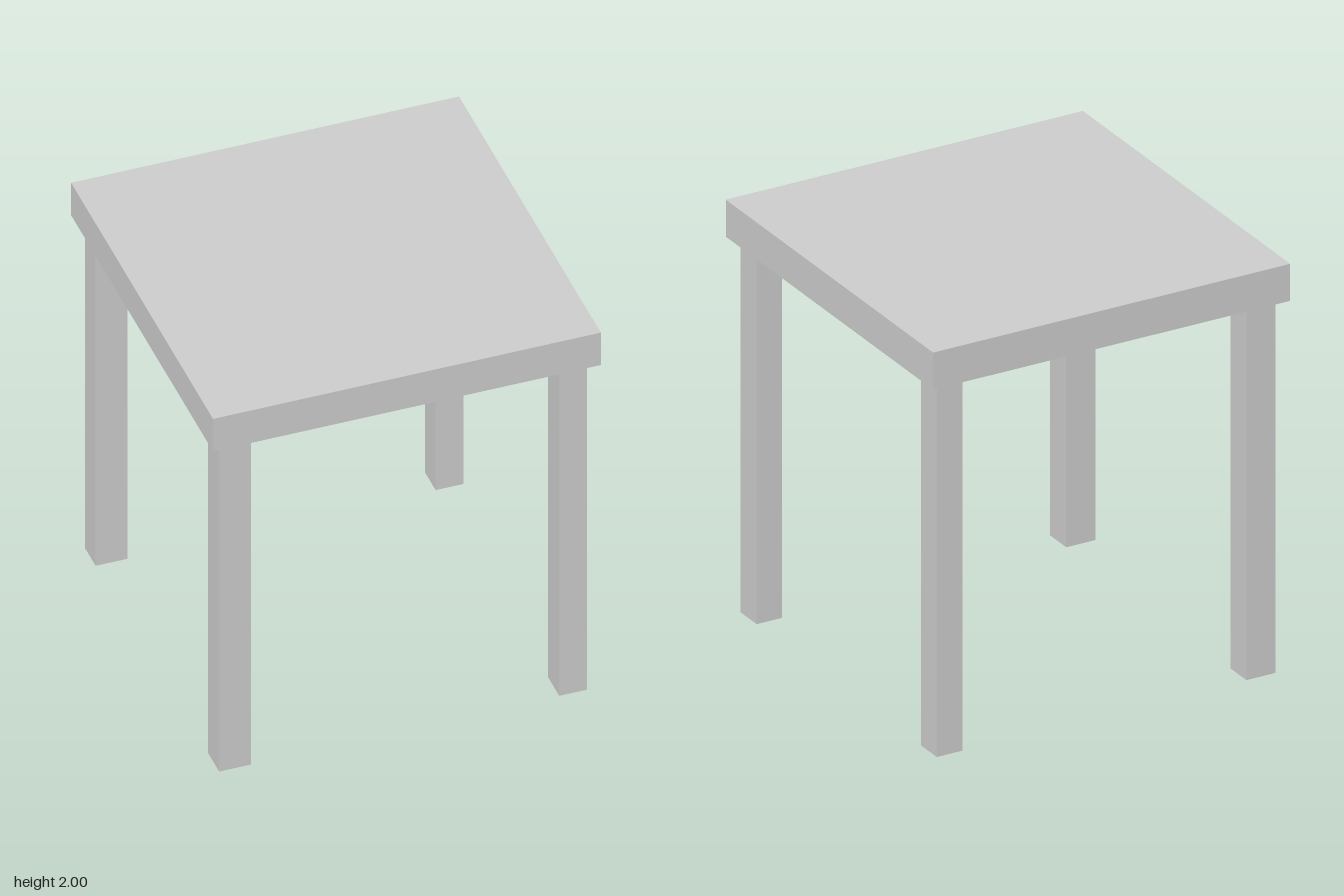
import * as THREE from 'three';

export function createModel() {
  const group = new THREE.Group();
  const material = new THREE.MeshStandardMaterial({ color: 0xcccccc, flatShading: true });

  // Box given by its lower and upper corners
  function addBox(name, [x0, y0, z0], [x1, y1, z1]) {
    const mesh = new THREE.Mesh(new THREE.BoxGeometry(x1 - x0, y1 - y0, z1 - z0), material);
    mesh.name = name;
    mesh.position.set((x0 + x1) / 2, (y0 + y1) / 2, (z0 + z1) / 2);
    group.add(mesh);
  }

  const half = 0.908;
  const underside = 1.82;

  // Thick square top
  addBox('tableTop', [-half, underside, -half], [half, 2, half]);

  // Four square legs, slightly inset; the right-hand pair is a little wider
  const sidesX = { Left: [0.73, 0.86], Right: [-0.862, -0.714] };
  const sidesZ = { front: [0.72, 0.862], back: [-0.858, -0.72] };
  for (const [zName, [z0, z1]] of Object.entries(sidesZ)) {
    for (const [xName, [x0, x1]] of Object.entries(sidesX)) {
      addBox(`${zName}${xName}Leg`, [x0, 0, z0], [x1, underside, z1]);
    }
  }

  return group;
}
